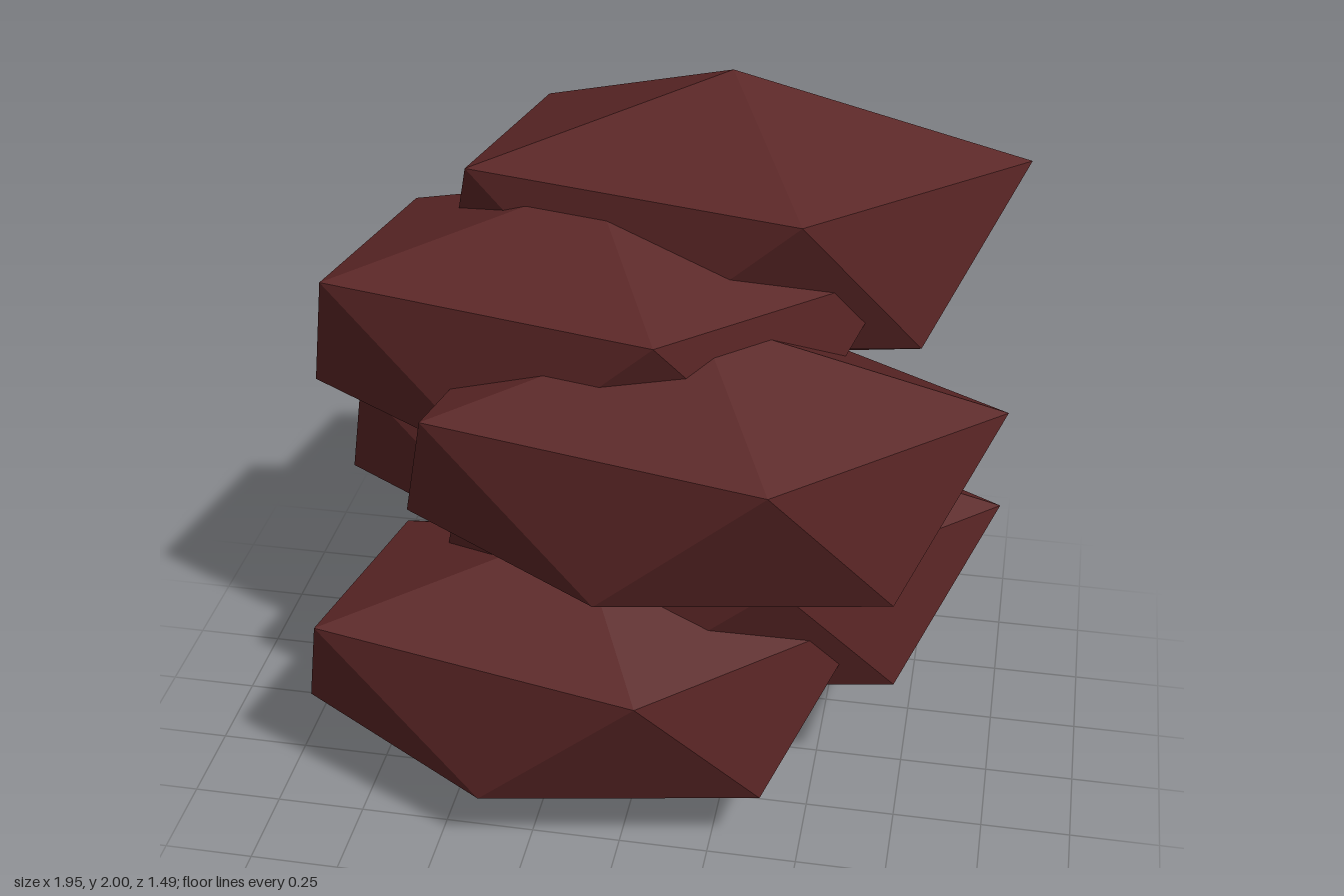
import * as THREE from 'three';

// One faceted, stretched rock: two poles and two staggered rings of five corners
function rockGeometry() {
  const upper = [[0.805, 0.23, 0], [0.255, 0.23, 0.515], [-0.665, 0.23, 0.315], [-0.57, 0.2, -0.29], [0.2, 0.19, -0.42]];
  const lower = [[0.56, -0.21, 0.28], [-0.2, -0.21, 0.42], [-0.81, -0.25, 0], [-0.2, -0.205, -0.42], [0.635, -0.235, -0.31]];
  const top = [0, 0.43, 0];
  const bottom = [0, -0.43, 0];
  const corners = [];
  for (let i = 0; i < 5; i++) {
    const j = (i + 1) % 5;
    corners.push(
      top, upper[j], upper[i],
      upper[i], upper[j], lower[i],
      lower[i], upper[j], lower[j],
      bottom, lower[i], lower[j]
    );
  }
  const geometry = new THREE.BufferGeometry();
  geometry.setAttribute('position', new THREE.Float32BufferAttribute(corners.flat(), 3));
  geometry.computeVertexNormals(); // unshared corners give flat faces
  return geometry;
}

export function createModel() {
  const model = new THREE.Group();
  model.name = 'rockStack';
  const maroon = new THREE.MeshStandardMaterial({ color: 0x5a2525 });
  maroon.name = 'dark maroon';
  maroon.flatShading = true;

  // Six equal rocks rise in even steps, alternating sideways and cycling front to back
  const geometry = rockGeometry();
  const depths = [0.228, -0.048, -0.323];
  for (let i = 0; i < 6; i++) {
    const rock = new THREE.Mesh(geometry, maroon);
    rock.name = `rock${i + 1}`;
    rock.position.set(i % 2 ? 0.165 : -0.165, 0.43 + i * 0.228, depths[i % 3]);
    model.add(rock);
  }
  return model;
}
